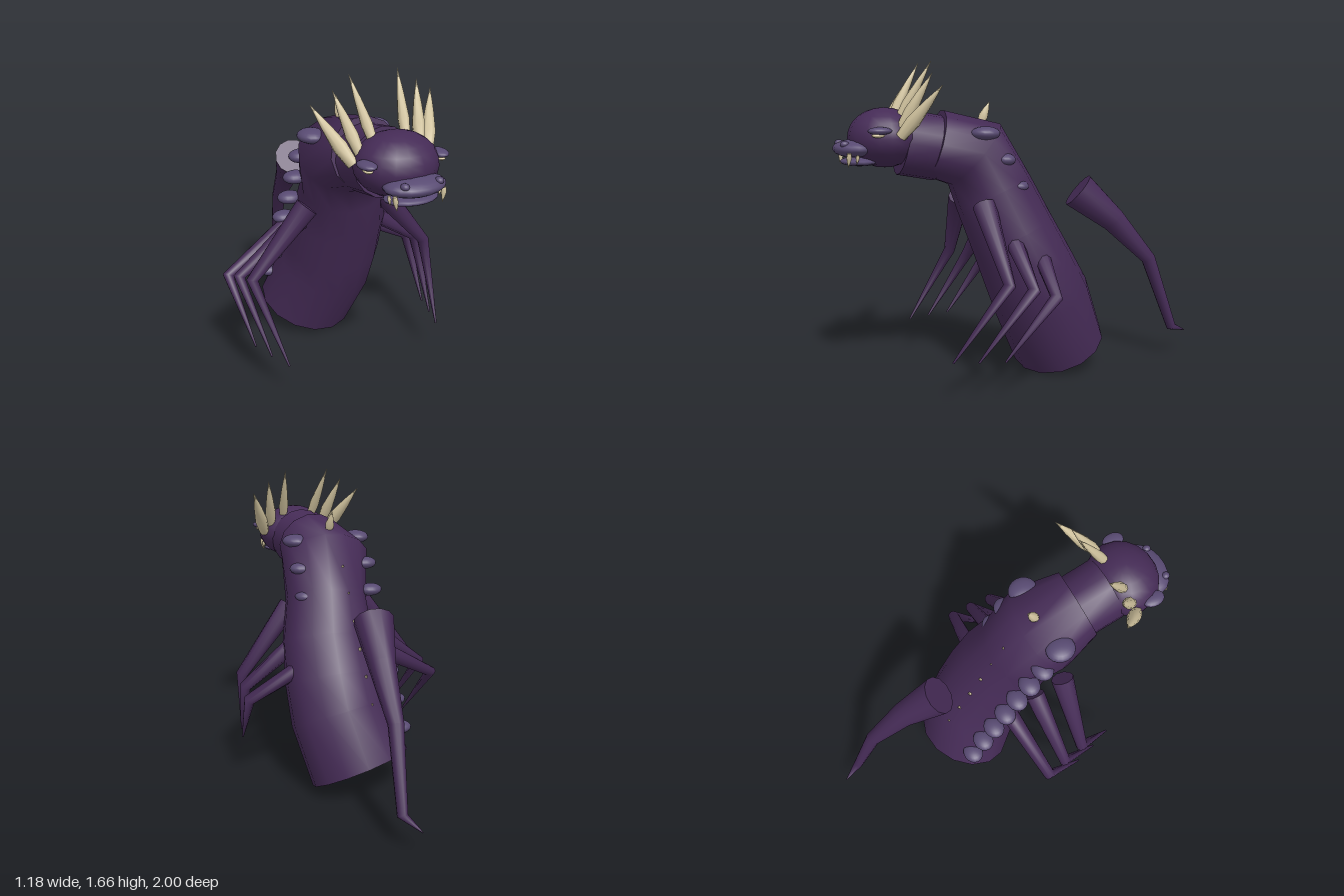
import * as THREE from 'three';

const mat = (name, color) => {
  const m = new THREE.MeshStandardMaterial({ color });
  m.name = name;
  return m;
};

// Closed tube through rings [x, y, z, half width, half depth]
function loft(rings, sides) {
  const pos = [], idx = [];
  const centres = rings.map(r => new THREE.Vector3(r[0], r[1], r[2]));
  const last = rings.length - 1;
  const circles = rings.map((r, i) => {
    const t = centres[Math.min(i + 1, last)].clone().sub(centres[Math.max(i - 1, 0)]).normalize();
    const u = new THREE.Vector3(1, 0, 0).addScaledVector(t, -t.x).normalize();
    const v = t.clone().cross(u);
    return Array.from({ length: sides }, (_, j) => {
      const a = j / sides * Math.PI * 2;
      return centres[i].clone().addScaledVector(u, Math.cos(a) * r[3])
        .addScaledVector(v, Math.sin(a) * (r[4] ?? r[3]));
    });
  });
  circles.flat().forEach(p => pos.push(p.x, p.y, p.z));
  for (let i = 0; i < last; i++) {
    for (let j = 0; j < sides; j++) {
      const k = (j + 1) % sides, a = i * sides, b = a + sides;
      idx.push(a + j, a + k, b + j, a + k, b + k, b + j);
    }
  }
  // Flat end caps with their own corners
  for (const end of [0, last]) {
    const base = pos.length / 3;
    [centres[end], ...circles[end]].forEach(p => pos.push(p.x, p.y, p.z));
    for (let j = 0; j < sides; j++) {
      const a = base + 1 + j, b = base + 1 + (j + 1) % sides;
      end ? idx.push(base, a, b) : idx.push(base, b, a);
    }
  }
  const g = new THREE.BufferGeometry();
  g.setAttribute('position', new THREE.Float32BufferAttribute(pos, 3));
  g.setIndex(idx);
  g.computeVertexNormals();
  return g;
}

export function createModel() {
  const group = new THREE.Group();
  const hide = mat('dark purple hide', 0x452b56);
  const scale = mat('dusky violet scale', 0x584a72);
  const bone = mat('pale bone', 0xd2c49f);

  const add = (name, geometry, material) => {
    const m = new THREE.Mesh(geometry, material);
    m.name = name;
    group.add(m);
    return m;
  };
  const blob = (name, material, p, r, tilt = 0) => {
    const m = add(name, new THREE.SphereGeometry(1, 18, 12), material);
    m.position.set(...p);
    m.scale.set(...r);
    m.rotation.x = tilt;
    return m;
  };
  // Spindle from a to b, swelling a little above its base
  const spike = (name, a, b, r, sides = 8) => {
    const A = new THREE.Vector3(...a), B = new THREE.Vector3(...b);
    const at = (t, w) => [...A.clone().lerp(B, t).toArray(), r * w];
    return add(name, loft([at(0, 0.75), at(0.3, 1), at(0.65, 0.6), at(1, 0.03)], sides), bone);
  };

  // Swaying trunk
  add('body', loft([
    [0, 1.245, 0.48, 0.19, 0.18],
    [0.005, 1.185, 0.265, 0.25, 0.21],
    [0.045, 0.98, 0.17, 0.225, 0.215],
    [0.075, 0.77, 0.08, 0.255, 0.23],
    [0.085, 0.57, -0.01, 0.268, 0.25],
    [0.085, 0.4, -0.09, 0.272, 0.265],
    [0.02, 0.115, -0.215, 0.28, 0.255],
  ], 14), hide);

  // Neck and head
  add('neck', loft([[0, 1.22, 0.46, 0.17], [0, 1.255, 0.65, 0.17]], 16), hide);
  blob('head', hide, [0, 1.28, 0.74], [0.205, 0.152, 0.185]);
  blob('snout', scale, [0, 1.228, 0.895], [0.155, 0.046, 0.105]);
  blob('lowerJaw', scale, [0, 1.163, 0.87], [0.135, 0.024, 0.095]);

  for (const s of [1, -1]) {
    // Face details
    blob('nostril', scale, [s * 0.09, 1.253, 0.955], [0.02, 0.017, 0.022]);
    blob('brow', scale, [s * 0.19, 1.32, 0.8], [0.042, 0.019, 0.06]);
    blob('eye', bone, [s * 0.192, 1.297, 0.81], [0.02, 0.01, 0.033]);
    spike('frontFang', [s * 0.13, 1.21, 0.94], [s * 0.12, 1.14, 0.945], 0.014, 6);
    spike('rearFang', [s * 0.135, 1.2, 0.9], [s * 0.13, 1.155, 0.905], 0.01, 6);

    // Crown of horns
    spike('outerHorn', [s * 0.2, 1.29, 0.7], [s * 0.325, 1.54, 0.52], 0.036);
    spike('middleHorn', [s * 0.16, 1.33, 0.69], [s * 0.225, 1.6, 0.545], 0.032);
    spike('innerHorn', [s * 0.085, 1.36, 0.69], [s * 0.13, 1.66, 0.525], 0.028);

    // Row of side scales
    blob('shoulderScale', scale, [s * 0.185, 1.3, 0.26], [0.07, 0.036, 0.077]);
    for (let i = 0; i < 7; i++) {
      blob('sideScale', scale, [s * 0.192, 1.165 - i * 0.139, 0.16 - i * 0.071], [0.066, 0.034, 0.056]);
    }

    // Three thin jointed legs: shoulder, knee, tip
    [
      ['frontLeg', [0.22, 0.935, 0.28], [0.52, 0.58, 0.255], [0.445, 0.2, 0.52], 0.061],
      ['middleLeg', [0.19, 0.8, 0.135], [0.542, 0.55, 0.135], [0.485, 0.2, 0.4], 0.054],
      ['backLeg', [0.19, 0.71, -0.025], [0.56, 0.51, 0.025], [0.52, 0.2, 0.275], 0.05],
    ].forEach(([name, a, k, t, r]) => {
      const f = p => [s * p[0], p[1], p[2]];
      add(name, loft([[...f(a), r], [...f(k), 0.032], [...f(t), 0.005]], 10), hide);
    });
  }

  // Spines down the back
  spike('napeSpine', [0, 1.35, 0.225], [0, 1.46, 0.175], 0.026);
  for (let i = 0; i < 6; i++) {
    const y = 1.16 - i * 0.135, z = 0.06 - i * 0.071;
    spike('backSpine', [0, y, z], [0, y + 0.03, z - 0.025], 0.012, 6);
  }

  // Tail hanging behind the trunk
  add('tail', loft([
    [0.01, 0.97, -0.34, 0.105],
    [0.065, 0.8, -0.535, 0.07],
    [0.1, 0.57, -0.745, 0.04],
    [0.135, 0.165, -0.885, 0.027],
    [0.09, 0.123, -0.998, 0.003],
  ], 12), hide);

  return group;
}
